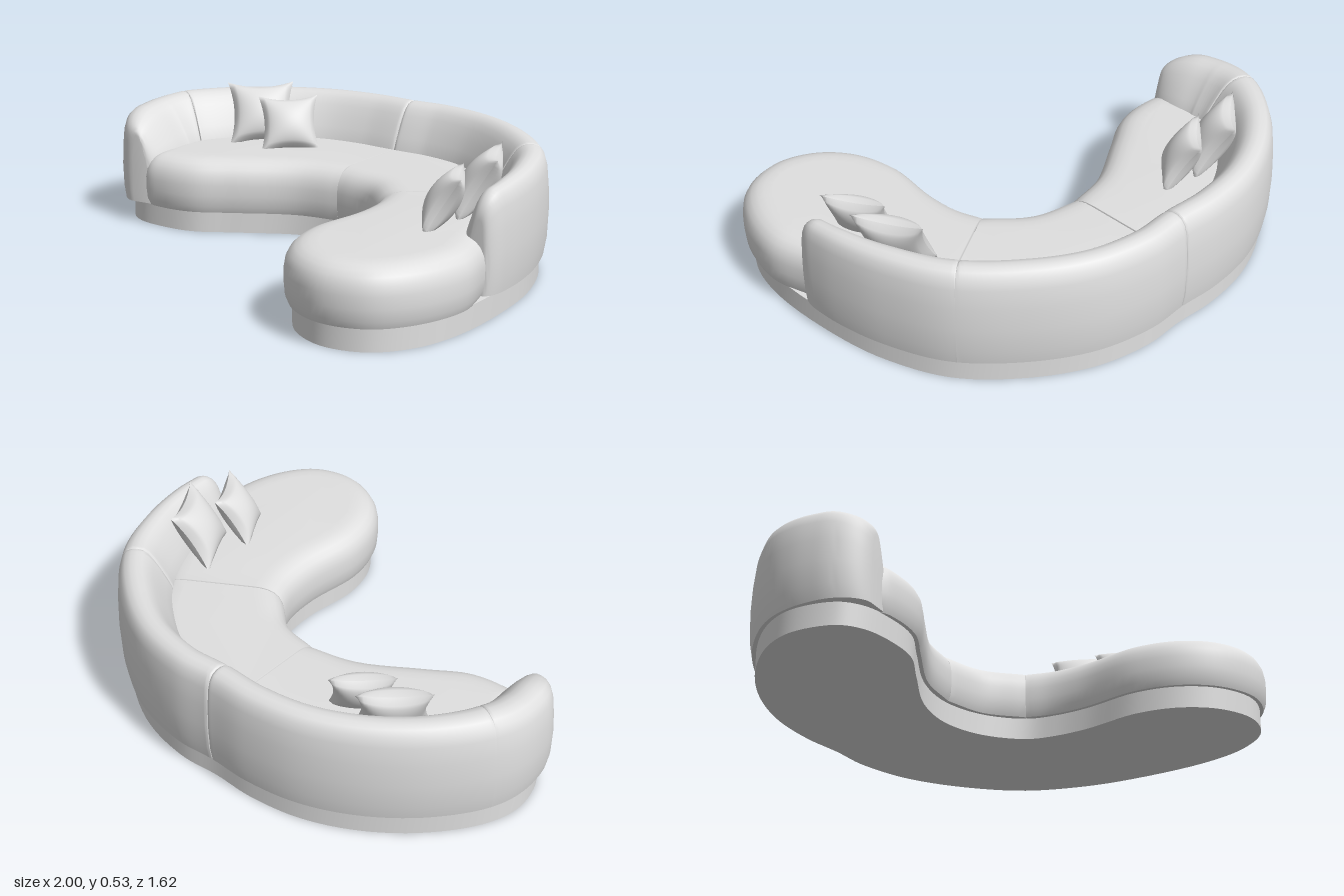
import * as THREE from 'three';
import { mergeGeometries, toCreasedNormals } from 'three/addons/utils/BufferGeometryUtils.js';

const fabric = new THREE.MeshStandardMaterial({ color: 0xe0e0e0 });
fabric.name = 'light grey fabric';

// Plan points are [x, z]
const seatFront = [[0, -0.2], [-0.18, -0.16], [-0.4, -0.03], [-0.55, 0.06], [-0.69, 0.085]];
const backPath = [[-0.965, 0.09], [-1, -0.18], [-0.958, -0.34], [-0.81, -0.535], [-0.615, -0.685],
  [-0.4, -0.778], [-0.18, -0.811], [0, -0.805], [0.17, -0.811], [0.41, -0.757], [0.635, -0.625],
  [0.835, -0.425], [0.94, -0.19], [0.985, 0.03], [0.99, 0.23]];
const chaiseFront = [[0.955, 0.22], [0.995, 0.4], [0.94, 0.615], [0.825, 0.757], [0.65, 0.805], [0.48, 0.743],
  [0.367, 0.61], [0.32, 0.43], [0.343, 0.19], [0.333, 0.05], [0.3, -0.05]];

const curve = (pts, closed = false) =>
  new THREE.CatmullRomCurve3(pts.map(([x, z]) => new THREE.Vector3(x, 0, z)), closed);

function addMesh(parent, name, geometry) {
  const mesh = new THREE.Mesh(geometry, fabric);
  mesh.name = name;
  parent.add(mesh);
  return mesh;
}

// Skin over closed rings, with flat caps on both ends
function loft(rings, firstFlat, lastFlat) {
  const m = rings[0].length, index = [];
  for (let i = 0; i < rings.length - 1; i++) {
    for (let j = 0; j < m; j++) {
      const a = i * m + j, b = i * m + (j + 1) % m;
      index.push(a, b, b + m, a, b + m, a + m);
    }
  }
  const end = (rings.length - 1) * m;
  for (const [a, b, c] of THREE.ShapeUtils.triangulateShape(firstFlat, [])) index.push(a, b, c);
  for (const [a, b, c] of THREE.ShapeUtils.triangulateShape(lastFlat, [])) index.push(end + c, end + b, end + a);
  const geometry = new THREE.BufferGeometry().setFromPoints(rings.flat());
  geometry.setIndex(index);
  return toCreasedNormals(geometry, 0.7);
}

// Sections of a plan outline, each with a weight for how far its edge is rounded in
function outline(sections) {
  const pts = [], weights = [];
  for (const { pts: p, w = 1, closed = false } of sections) {
    const steps = p.length === 2 ? 1 : (p.length - 1) * 6;
    const c = curve(p, closed);
    for (let i = 0; i < steps; i++) {
      const v = c.getPoint(i / steps);
      pts.push(new THREE.Vector2(v.x, v.z));
      weights.push(w);
    }
  }
  return { pts, weights };
}

// Inset each edge by its own distance and mitre the corners
function inset({ pts, weights }, d) {
  const n = pts.length;
  const normal = (i) => {
    const e = pts[(i + 1) % n].clone().sub(pts[i]).normalize();
    return new THREE.Vector2(-e.y, e.x);
  };
  return pts.map((p, i) => {
    const k = (i + n - 1) % n, n1 = normal(k), n2 = normal(i);
    const d1 = d * weights[k], d2 = d * weights[i];
    if (d1 === d2) return n1.clone().add(n2).multiplyScalar(d1 / (1 + n1.dot(n2))).add(p);
    const det = n1.x * n2.y - n1.y * n2.x;
    return new THREE.Vector2((d1 * n2.y - d2 * n1.y) / det, (d2 * n1.x - d1 * n2.x) / det).add(p);
  }).reverse();
}

// Upholstered block: plan outline raised along a profile of [inset, y]
function block(sections, profile) {
  const plan = outline(sections);
  const flats = profile.map(([d]) => inset(plan, d));
  const rings = flats.map((f, i) => f.map((p) => new THREE.Vector3(p.x, profile[i][1], p.y)));
  return loft(rings, flats[0], flats[flats.length - 1]);
}

// Backrest section as [depth, y], from outer bottom over the top to inner bottom
const backSection = [[0.012, 0.09], [0.003, 0.15], [0, 0.25], [0.003, 0.34], [0.01, 0.42], [0.02, 0.459],
  [0.035, 0.48], [0.055, 0.489], [0.075, 0.49], [0.095, 0.483], [0.113, 0.466], [0.13, 0.44], [0.15, 0.4],
  [0.17, 0.355], [0.187, 0.31], [0.197, 0.26], [0.2, 0.2], [0.2, 0.09]];
const backDepth = [0.265, 0.275, 0.26, 0.235, 0.225, 0.22, 0.22, 0.22, 0.22, 0.22, 0.225, 0.225, 0.205, 0.18, 0.15];
const backHeight = [0.455, 0.475, 0.488, 0.49, 0.49, 0.49, 0.49, 0.49, 0.49, 0.49, 0.49, 0.488, 0.485, 0.478, 0.465];

// End shapes: rounding length, remaining depth and height, and the point of the depth it closes on
const seam = { r: 0.012, depth: 0.965, height: 0.985, pivot: 0.55 };
const innerSeam = { r: 0.012, depth: 0.965, height: 0.99, pivot: 0 };
const armEnd = { r: 0.16, depth: 0.28, height: 0.78, pivot: 0.6 };
const slimEnd = { r: 0.08, depth: 0.45, height: 0.74, pivot: 0.5 };

// Backrest piece between two path indices, with its ends rounded off
function backPiece(from, to, startEnd, stopEnd) {
  const path = curve(backPath), last = backPath.length - 1, steps = 40;
  const at = (k) => path.getPoint(k / last);
  const sample = (list, k) => {
    const i = Math.min(Math.floor(k), last - 1);
    return THREE.MathUtils.lerp(list[i], list[i + 1], k - i);
  };
  const flats = [], rings = [];
  for (let s = 0; s <= steps; s++) {
    const k = from + (to - from) * (1 - Math.cos(Math.PI * s / steps)) / 2;
    const p = at(k), t = path.getTangent(k / last);
    let scale = 1, shift = 0, fh = 1;
    for (const [end, stop] of [[startEnd, from], [stopEnd, to]]) {
      const q = Math.min(1, p.distanceTo(at(stop)) / end.r);
      const round = Math.sqrt(1 - (1 - q) ** 2);
      const fd = end.depth + (1 - end.depth) * round;
      scale *= fd;
      shift = shift * fd + end.pivot * (1 - fd);
      fh *= end.height + (1 - end.height) * round;
    }
    const depth = sample(backDepth, k), height = (sample(backHeight, k) - 0.09) / 0.4;
    const flat = backSection.map(([o, y]) => new THREE.Vector2(
      depth * (o / 0.2 * scale + shift), 0.09 + (y - 0.09) * height * fh));
    flats.push(flat);
    rings.push(flat.map((f) => new THREE.Vector3(p.x - t.z * f.x, f.y, p.z + t.x * f.x)));
  }
  return loft(rings, flats[0], flats[steps]);
}

// Square cushion with pinched edges and pointed corners
function pillow(size) {
  const front = new THREE.PlaneGeometry(2, 2, 20, 20);
  const pos = front.attributes.position;
  for (let i = 0; i < pos.count; i++) {
    const u = pos.getX(i), v = pos.getY(i), a = 1 - u * u, b = 1 - v * v;
    pos.setXYZ(i, size / 2 * u * (1 - 0.17 * b), size / 2 * v * (1 - 0.17 * a),
      size * 0.24 * Math.pow(Math.max(0, a * b), 0.48));
  }
  front.computeVertexNormals();
  return mergeGeometries([front, front.clone().rotateY(Math.PI)]);
}

export function createModel() {
  const sofa = new THREE.Group();
  sofa.name = 'curvedSofa';

  // Plinth
  const footprint = [...seatFront, [-0.85, 0.07], [-0.95, 0], ...backPath.slice(1, -1),
    ...chaiseFront.slice(1), [0.17, -0.16]];
  addMesh(sofa, 'base', block([{ pts: footprint, closed: true }], [[0.03, 0], [0.03, 0.09]]));

  // Seats
  const seatProfile = [[0.015, 0.088], [0.004, 0.115], [0, 0.16], [0, 0.205], [0.006, 0.24], [0.02, 0.267],
    [0.04, 0.286], [0.065, 0.297], [0.09, 0.302], [0.12, 0.304]];
  const seamWeight = 0.03;
  addMesh(sofa, 'rightSeat', block([
    { pts: [...seatFront, [-0.78, 0.07], [-0.85, -0.05], [-0.85, -0.3], [-0.7, -0.5], [-0.4, -0.68], [0, -0.72]] },
    { pts: [[0, -0.72], [0, -0.2]], w: seamWeight },
  ], seatProfile));
  addMesh(sofa, 'cornerSeat', block([
    { pts: [[0, -0.72], [0.35, -0.67], [0.62, -0.5], [0.75, -0.31]] },
    { pts: [[0.75, -0.31], [0.3, -0.05]], w: seamWeight },
    { pts: [[0.3, -0.05], [0.17, -0.16], [0, -0.2]] },
    { pts: [[0, -0.2], [0, -0.72]], w: seamWeight },
  ], seatProfile));
  addMesh(sofa, 'chaiseSeat', block([
    { pts: [[0.3, -0.05], [0.75, -0.31]], w: seamWeight },
    { pts: [[0.75, -0.31], [0.82, -0.2], [0.89, -0.03], [0.92, 0.1], ...chaiseFront] },
  ], seatProfile));

  // Backrest
  addMesh(sofa, 'rightArm', backPiece(0, 2, armEnd, innerSeam));
  addMesh(sofa, 'rightBack', backPiece(2, 7, innerSeam, seam));
  addMesh(sofa, 'leftBack', backPiece(7, 10.9, seam, innerSeam));
  addMesh(sofa, 'leftArm', backPiece(10.9, 14, innerSeam, slimEnd));

  // Pillows: size, position, yaw
  for (const [size, x, y, z, yaw] of [
    [0.28, -0.565, 0.412, -0.43, 42], [0.25, -0.402, 0.393, -0.41, 43],
    [0.28, 0.75, 0.412, -0.055, -62], [0.25, 0.735, 0.393, 0.16, -60],
  ]) {
    const cushion = addMesh(sofa, 'pillow', pillow(size));
    cushion.position.set(x, y, z);
    cushion.rotation.set(-0.55, THREE.MathUtils.degToRad(yaw), 0, 'YXZ');
  }
  return sofa;
}
